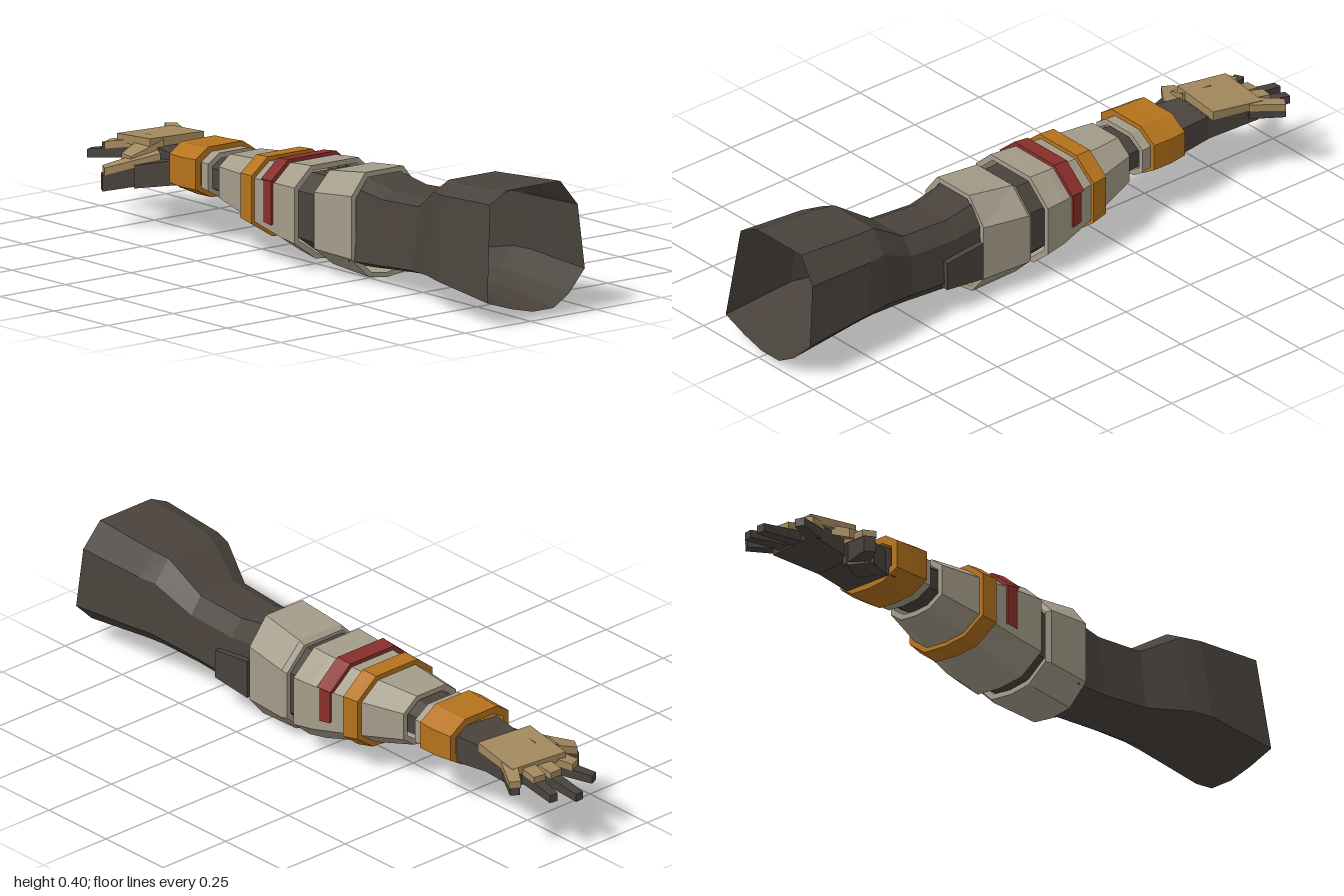
import * as THREE from 'three';

const mat = (name, color) => {
  const m = new THREE.MeshStandardMaterial({ color, flatShading: true, side: THREE.DoubleSide });
  m.name = name;
  return m;
};

// Cross-sections as [depth 0 back..1 front, height 0..1], running front, top, back, bottom
const SLEEVE = [[0.91, 0.91], [0.73, 1], [0.19, 1], [0.03, 0.79], [0, 0.27], [0.18, 0.09], [0.34, 0], [0.55, 0], [0.76, 0.05], [1, 0.13]];
const BAND = [[1, 0.8], [0.8, 1], [0.25, 1], [0, 0.75], [0, 0.22], [0.2, 0.03], [0.48, 0], [0.75, 0.03], [1, 0.22]];
const STRAP = [[1, 0.31], [1, 0.8], [0.8, 1], [0.25, 1], [0, 0.75], [0, 0.35]];
const STRAP_TOP = [[1, 0.8], [0.8, 1], [0.25, 1], [0, 0.75]];

// Skin a profile through sections [x, yLow, yHigh, zBack, zFront, slant]
function loft(profile, sections, closed = true) {
  const n = profile.length, pos = [], index = [];
  for (const [x, y0, y1, z0, z1, slant = 0] of sections)
    for (const [u, v] of profile) pos.push(x + slant * v, y0 + (y1 - y0) * v, z0 + (z1 - z0) * u);
  for (let s = 0; s < sections.length - 1; s++)
    for (let i = 0; i < (closed ? n : n - 1); i++) {
      const a = s * n + i, b = s * n + (i + 1) % n;
      index.push(a, a + n, b + n, a, b + n, b);
    }
  const g = new THREE.BufferGeometry();
  g.setAttribute('position', new THREE.Float32BufferAttribute(pos, 3));
  g.setIndex(index);
  g.computeVertexNormals();
  return g;
}

// Section moved inward (positive) or outward (negative)
const inset = ([x, y0, y1, z0, z1], d) => [x, y0 + d, y1 - d, z0 + d, z1 - d];

// Tapered block from a to b, each [x, y, z, width, height]
function limb(a, b) {
  const g = new THREE.BoxGeometry(1, 1, 1), p = g.attributes.position;
  const len = Math.hypot(b[0] - a[0], b[2] - a[2]);
  const dx = (b[0] - a[0]) / len, dz = (b[2] - a[2]) / len;
  for (let i = 0; i < p.count; i++) {
    const t = p.getX(i) + 0.5;
    const [x, y, z, w, h] = a.map((v, k) => v + (b[k] - v) * t);
    const side = p.getZ(i) * w;
    p.setXYZ(i, x - dz * side, y + p.getY(i) * h, z + dx * side);
  }
  g.computeVertexNormals();
  return g;
}

export function createModel() {
  const root = new THREE.Group();
  root.name = 'armouredArm';
  const dark = mat('darkCloth', 0x4a433d), cream = mat('creamPlate', 0xa59d8a);
  const orange = mat('orangeTrim', 0xb5731c), red = mat('redStrap', 0x8a2f2b), tan = mat('tanLeather', 0xa3895e);
  const add = (name, geometry, material, parent = root) => {
    const m = new THREE.Mesh(geometry, material);
    m.name = name;
    parent.add(m);
    return m;
  };
  // Shell with lips folded in at both ends
  const band = (name, material, sections, lip = 0.016) => add(name, loft(BAND,
    [inset(sections[0], lip), ...sections, inset(sections[sections.length - 1], lip)]), material);

  // Flared open sleeve
  add('sleeve', loft(SLEEVE, [
    [0.25, 0.03, 0.31, -0.165, 0.08],
    [0.37, 0.04, 0.29, -0.165, 0.07],
    [0.545, 0.055, 0.30, -0.17, 0.075],
    [0.68, 0.062, 0.38, -0.2, 0.13, -0.01],
    [0.75, 0.06, 0.383, -0.21, 0.15, -0.02],
    [0.997, 0.03, 0.40, -0.218, 0.158, -0.037],
  ]), dark);
  add('elbowPatch', limb([0.28, 0.14, -0.155, 0.05, 0.12], [0.42, 0.14, -0.155, 0.05, 0.09]), dark);

  // Cloth seen between the plates
  add('elbowGap', loft(BAND, [[0.03, 0.045, 0.29, -0.17, 0.09], [0.12, 0.04, 0.29, -0.17, 0.085]]), dark);
  add('wristGap', loft(BAND, [[-0.43, 0.15, 0.25, -0.09, 0.07], [-0.32, 0.145, 0.26, -0.095, 0.075]]), dark);

  // Plates and trims
  band('upperPlate', cream, [[0.1, 0.022, 0.3, -0.185, 0.09], [0.115, 0.017, 0.312, -0.193, 0.1], [0.275, 0.003, 0.332, -0.175, 0.088]]);
  band('forearmPlate', cream, [[-0.34, 0.12, 0.282, -0.12, 0.09], [-0.17, 0.077, 0.294, -0.168, 0.112],
    [-0.02, 0.037, 0.311, -0.198, 0.12], [0.05, 0.024, 0.316, -0.204, 0.122]]);
  band('forearmTrim', orange, [[-0.2, 0.072, 0.307, -0.177, 0.122], [-0.145, 0.06, 0.31, -0.184, 0.125]]);
  band('wristRing', cream, [[-0.425, 0.14, 0.275, -0.115, 0.087], [-0.39, 0.135, 0.276, -0.12, 0.09]]);
  band('wristCuff', orange, [[-0.55, 0.135, 0.285, -0.125, 0.107], [-0.49, 0.13, 0.286, -0.13, 0.11], [-0.425, 0.132, 0.29, -0.132, 0.11]], 0.022);

  // Red strap over the top of the forearm
  const strapA = [-0.093, 0.05, 0.309, -0.19, 0.122], strapB = [-0.055, 0.042, 0.314, -0.197, 0.125];
  add('strap', loft(STRAP, [inset(strapA, 0.008), strapA, strapB, inset(strapB, 0.008)], false), red);
  const topA = inset([-0.1, ...strapA.slice(1)], -0.005), topB = inset([-0.048, ...strapB.slice(1)], -0.005);
  add('strapTop', loft(STRAP_TOP, [inset(topA, 0.012), topA, topB, inset(topB, 0.012)], false), red);

  // Hand
  const hand = new THREE.Group();
  hand.name = 'hand';
  root.add(hand);
  add('wrist', limb([-0.52, 0.195, -0.01, 0.18, 0.09], [-0.68, 0.205, -0.025, 0.14, 0.075]), dark, hand);
  add('palm', limb([-0.67, 0.205, -0.025, 0.14, 0.075], [-0.84, 0.21, -0.04, 0.18, 0.045]), dark, hand);
  add('thumbBase', limb([-0.58, 0.19, 0.03, 0.09, 0.075], [-0.7, 0.165, 0.1, 0.08, 0.07]), dark, hand);
  add('handBackPlate', limb([-0.675, 0.255, -0.025, 0.19, 0.03], [-0.85, 0.242, -0.045, 0.195, 0.025]), tan, hand);

  // Each finger: base, tip and how much of it the leather covers
  const fingers = {
    little: [[-0.8, 0.222, -0.12, 0.04, 0.03], [-0.893, 0.215, -0.18, 0.03, 0.025], 1],
    ring: [[-0.81, 0.213, -0.075, 0.045, 0.035], [-0.973, 0.195, -0.098, 0.028, 0.025], 0.55],
    middle: [[-0.81, 0.21, -0.025, 0.045, 0.035], [-1, 0.183, -0.02, 0.028, 0.025], 0.48],
    index: [[-0.81, 0.208, 0.025, 0.045, 0.035], [-0.945, 0.187, 0.088, 0.03, 0.025], 0.6],
    thumb: [[-0.67, 0.18, 0.05, 0.075, 0.07], [-0.757, 0.145, 0.195, 0.035, 0.05], 0.97],
  };
  for (const [name, [base, tip, cover]] of Object.entries(fingers)) {
    add(name + 'Finger', limb(base, tip), dark, hand);
    const cap = ([x, y, z, w, h]) => [x, y + h / 2 + 0.009, z, w + 0.006, 0.022];
    const end = base.map((v, k) => v + (tip[k] - v) * cover);
    add(name + 'FingerGuard', limb(cap(base), cap(end)), tan, hand);
  }
  // Leather web joining the thumb to the back of the hand
  add('thumbWeb', limb([-0.72, 0.25, 0.02, 0.1, 0.03], [-0.735, 0.205, 0.12, 0.055, 0.03]), tan, hand);

  return root;
}
